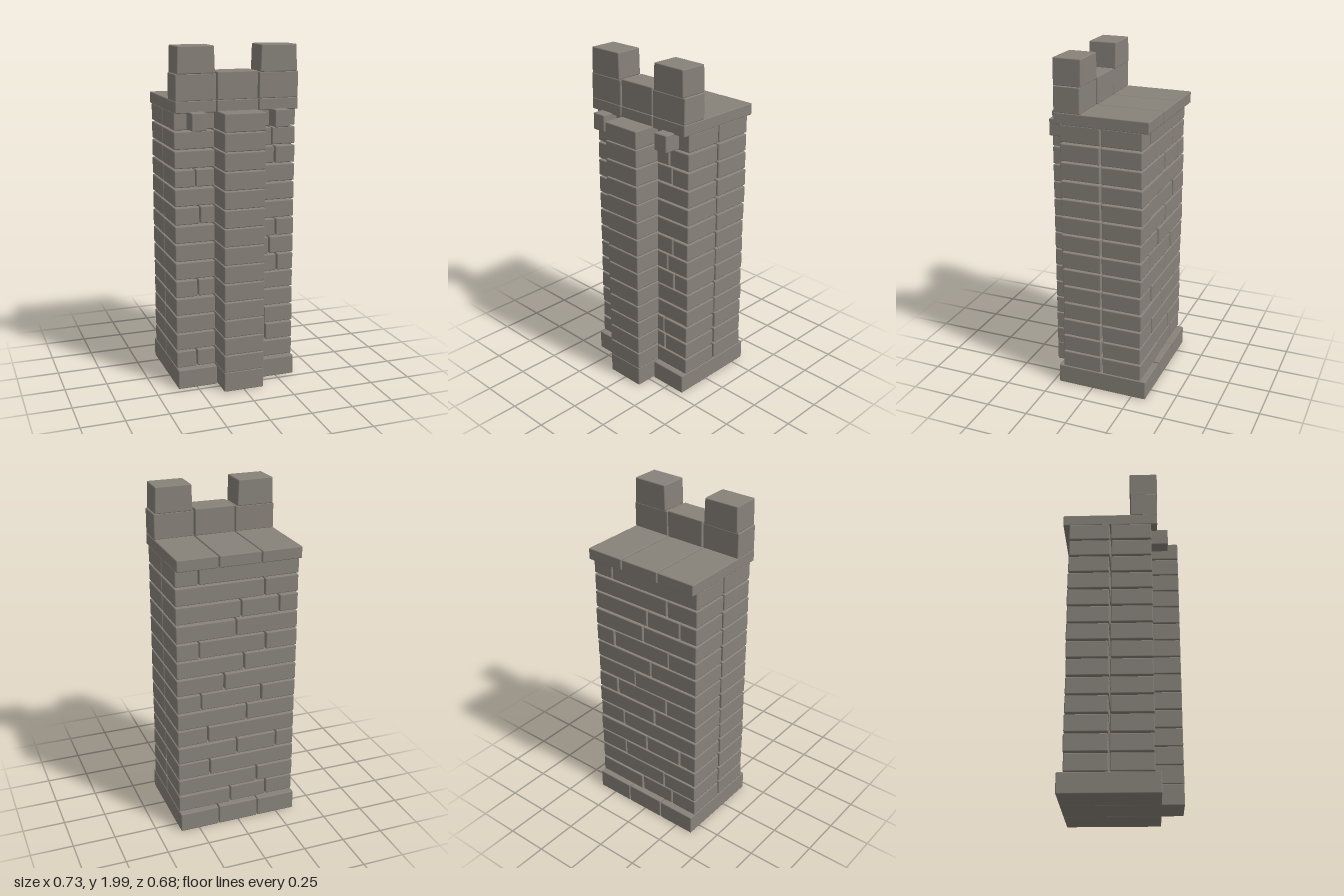
import * as THREE from 'three';
import { RoundedBoxGeometry } from 'three/addons/geometries/RoundedBoxGeometry.js';

export function createModel() {
  const model = new THREE.Group();
  model.name = 'stoneTower';
  const stone = new THREE.MeshStandardMaterial({ color: 0x87827a });
  stone.name = 'grey stone';

  // Seeded jitter for slightly uneven stones
  let seed = 7;
  const jitter = (a) => {
    seed = (seed * 16807) % 2147483647;
    return (seed / 2147483647 - 0.5) * 2 * a;
  };

  // A worn block spanning the given ranges
  function block(parent, name, x0, x1, y0, y1, z0, z1, tilt = 0.003) {
    const mesh = new THREE.Mesh(new RoundedBoxGeometry(x1 - x0, y1 - y0, z1 - z0, 1, 0.006), stone);
    mesh.name = name;
    mesh.position.set((x0 + x1) / 2, (y0 + y1) / 2, (z0 + z1) / 2);
    mesh.rotation.set(jitter(tilt), jitter(tilt), jitter(tilt));
    parent.add(mesh);
    return mesh;
  }

  // Splits a run of wall into stones at the given seams
  function run(parent, name, x0, x1, seams, y0, y1, z0, z1) {
    const xs = [x0, ...seams, x1];
    for (let i = 0; i + 1 < xs.length; i++) {
      const a = xs[i] + (i > 0 ? 0.004 : 0);
      const b = xs[i + 1] - (i + 2 < xs.length ? 0.004 : 0);
      block(parent, name, a, b, y0, y1, z0 + jitter(0.003), z1 + jitter(0.003));
    }
  }

  const group = (name) => {
    const g = new THREE.Group();
    g.name = name;
    model.add(g);
    return g;
  };
  const HALF = 0.364, IN = 0.127, MID = 0.122;

  // Base course
  const base = group('base');
  block(base, 'baseSide', -HALF, -IN, 0.005, 0.122, -0.338, 0.216, 0);
  block(base, 'baseSide', IN, HALF, 0.005, 0.122, -0.338, 0.216, 0);
  block(base, 'baseCentre', -MID, MID, 0.005, 0.125, -0.338, 0.34, 0);

  // Front seams [left, right] and back seams for each course, bottom to top
  const courses = [
    [[-0.24], [], [-0.19, 0.04]],
    [[], [0.19], [-0.13]],
    [[], [0.18], [0.17]],
    [[], [], [-0.25, 0.0]],
    [[-0.23], [], [0.18]],
    [[], [0.26], [-0.06]],
    [[], [0.21], [-0.15, 0.22]],
    [[], [0.25], [0.08]],
    [[-0.215], [], [-0.04]],
    [[], [], [-0.17, 0.23]],
    [[-0.24], [], [0.01]],
    [[], [0.24], [-0.25, -0.02]],
    [[], [0.22], [-0.16]],
    [[], [], [0.23]],
  ];
  const walls = group('walls');
  const pilaster = group('frontPilaster');
  courses.forEach(([left, right, back], i) => {
    const y0 = 0.125 + i * 0.1085, y1 = y0 + 0.1;
    run(walls, 'frontLeftStone', -HALF, -IN, left, y0, y1, -0.056, 0.181);
    run(walls, 'frontRightStone', IN, HALF, right, y0, y1, -0.056, 0.181);
    run(walls, 'backStone', -HALF, HALF, back, y0, y1, -0.305, -0.066);
    block(pilaster, 'pilasterStone', -MID, MID, y0 - 0.001, y1 + 0.003, -0.05, 0.34);
  });

  // Small corbels under the parapet
  const corbels = group('corbels');
  for (const s of [-1, 1])
    block(corbels, 'corbel', s * 0.245 - 0.044, s * 0.245 + 0.044, 1.54, 1.64, 0.12, 0.278);

  // Roof slabs
  const roof = group('roof');
  for (const [a, b] of [[-HALF, -IN], [-MID, MID], [IN, HALF]])
    block(roof, 'roofSlab', a, b, 1.632, 1.7, -0.34, 0.216, 0.002);

  // Parapet with two raised merlons
  const parapet = group('parapet');
  block(parapet, 'parapetCentre', -0.12, 0.12, 1.698, 1.855, 0.055, 0.213);
  for (const s of [-1, 1]) {
    block(parapet, 'parapetSide', s * 0.245 - 0.118, s * 0.245 + 0.118, 1.698, 1.847, 0.058, 0.215);
    const top = block(parapet, 'merlon', s * 0.245 - 0.108, s * 0.245 + 0.108, 1.846, 1.998, 0.052, 0.217);
    top.rotation.y = s * -0.012;
    // Taper the merlon slightly toward the top
    const p = top.geometry.attributes.position;
    for (let i = 0; i < p.count; i++) p.setX(i, p.getX(i) * (1 - p.getY(i) * 0.3));
    top.geometry.computeBoundingSphere();
  }
  return model;
}
